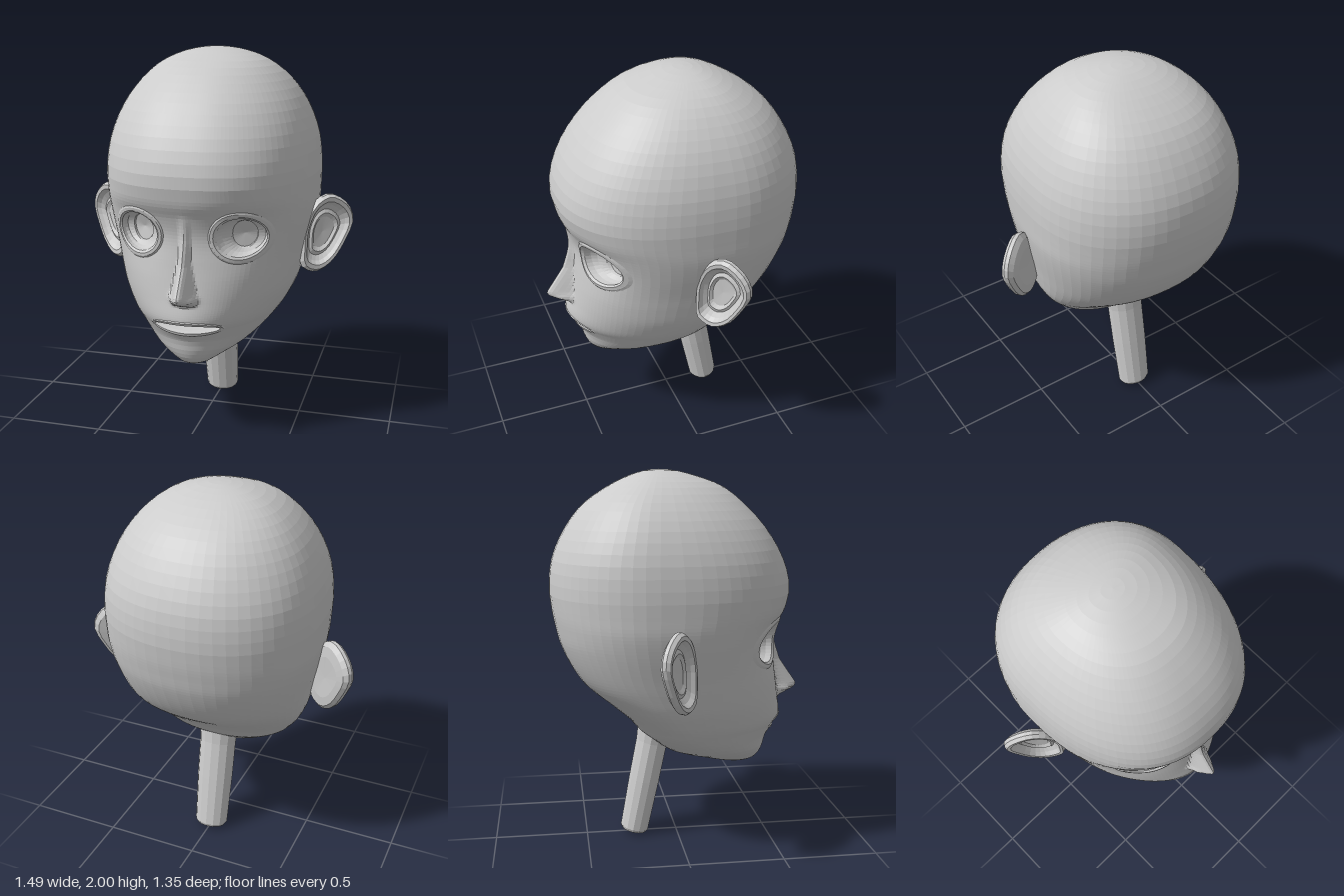
import * as THREE from 'three';

const material = new THREE.MeshStandardMaterial({ color: 0xcccccc, flatShading: true, side: THREE.DoubleSide });

// Head sections: y, half width, front z, back z, z of widest point, front roundness
const SECTIONS = [
  [0.40, 0.00, 0.345, 0.345, 0.345, 2.0],
  [0.41, 0.07, 0.425, 0.27, 0.33, 2.0],
  [0.45, 0.15, 0.470, 0.10, 0.27, 2.0],
  [0.50, 0.24, 0.490, -0.06, 0.19, 1.95],
  [0.56, 0.315, 0.505, -0.14, 0.11, 1.9],
  [0.62, 0.37, 0.545, -0.215, 0.05, 1.85],
  [0.66, 0.40, 0.570, -0.25, 0.03, 1.85],
  [0.70, 0.425, 0.575, -0.285, 0.00, 1.9],
  [0.785, 0.465, 0.560, -0.385, -0.05, 2.05],
  [0.88, 0.49, 0.545, -0.50, -0.09, 2.2],
  [0.97, 0.51, 0.535, -0.565, -0.12, 2.3],
  [1.10, 0.54, 0.530, -0.625, -0.14, 2.4],
  [1.20, 0.557, 0.552, -0.65, -0.15, 2.4],
  [1.28, 0.56, 0.585, -0.665, -0.15, 2.4],
  [1.40, 0.56, 0.602, -0.675, -0.15, 2.4],
  [1.55, 0.54, 0.560, -0.655, -0.15, 2.4],
  [1.70, 0.485, 0.470, -0.585, -0.14, 2.35],
  [1.82, 0.405, 0.360, -0.49, -0.13, 2.3],
  [1.92, 0.295, 0.230, -0.345, -0.11, 2.2],
  [1.97, 0.19, 0.090, -0.24, -0.10, 2.1],
  [2.00, 0.00, -0.09, -0.09, -0.09, 2.0],
];
const toQ = (y) => Math.asin(THREE.MathUtils.clamp((y - 1.2) / 0.8, -1, 1));
const Q = SECTIONS.map((s) => toQ(s[0]));

// Smooth interpolation of all section values at height y
function section(y) {
  const q = toQ(y), last = Q.length - 1;
  let i = 0;
  while (i < last - 1 && q > Q[i + 1]) i++;
  const h = Q[i + 1] - Q[i], t = (q - Q[i]) / h, u = 1 - t;
  return SECTIONS[i].map((_, c) => {
    const slope = (k) => {
      const a = Math.max(k - 1, 0), b = Math.min(k + 1, last);
      return (SECTIONS[b][c] - SECTIONS[a][c]) / (Q[b] - Q[a]);
    };
    return SECTIONS[i][c] * (1 + 2 * t) * u * u + SECTIONS[i + 1][c] * t * t * (3 - 2 * t)
      + h * (slope(i) * t * u * u - slope(i + 1) * t * t * u);
  });
}

// Nose ridge height along y
const NOSE = [[0.765, 0], [0.785, 0.06], [0.808, 0.115], [0.83, 0.128], [0.89, 0.095], [0.97, 0.05], [1.1, 0.018], [1.22, 0]];
function nose(x, y) {
  let h = 0;
  for (let i = 0; i < NOSE.length - 1; i++) {
    const [a, ha] = NOSE[i], [b, hb] = NOSE[i + 1];
    if (y >= a && y <= b) h = ha + (hb - ha) * (y - a) / (b - a);
  }
  const width = 0.036 + 0.04 * THREE.MathUtils.clamp((1 - y) / 0.18, 0, 1);
  const t = Math.min(Math.abs(x) / width, 1);
  const wing = 0.028 * Math.exp(-(((Math.abs(x) - 0.052) / 0.02) ** 2) - ((y - 0.803) / 0.02) ** 2);
  return h * (1 - t * t) ** 2 + wing;
}

const EYE = { x: 0.265, y: 1.11 }, MOUTH = { x: 0, y: 0.642 };

// Height of the face surface above (x, y)
function faceZ(x, y) {
  const [, w, zf, , zc, n] = section(y);
  const f = w > 1e-5 ? Math.min(Math.abs(x) / w, 1) : 0;
  const socket = ((Math.abs(x) - EYE.x) / 0.19) ** 2 + ((y - EYE.y) / 0.16) ** 2;
  return zc + (zf - zc) * (1 - f ** n) ** (1 / n) + nose(x, y) - 0.03 * Math.exp(-socket * 1.2);
}

// Skin between closed rings of points; skip(x, y, z) leaves holes
function loft(rings, skip = () => false) {
  const count = rings[0].length, points = rings.flat(), index = [];
  for (let j = 0; j < rings.length - 1; j++) {
    for (let k = 0; k < count; k++) {
      const a = j * count + k, b = j * count + (k + 1) % count, c = b + count, d = a + count;
      const mid = [0, 1, 2].map((m) => (points[a][m] + points[b][m] + points[c][m] + points[d][m]) / 4);
      if (!skip(...mid)) index.push(a, b, d, b, c, d);
    }
  }
  const geometry = new THREE.BufferGeometry();
  geometry.setAttribute('position', new THREE.Float32BufferAttribute(points.flat(), 3));
  geometry.setIndex(index);
  geometry.computeVertexNormals();
  return geometry;
}

function headGeometry() {
  const heights = [];
  const span = (from, to, count, ease = (t) => t) => {
    for (let i = 0; i < count; i++) heights.push(from + (to - from) * ease(i / count));
  };
  span(0.4, 0.56, 9, (t) => 1 - Math.cos(t * Math.PI / 2));
  span(0.56, 0.86, 26);
  span(0.86, 1.3, 24);
  span(1.3, 2.0, 18, (t) => Math.sin(t * Math.PI / 2));
  heights.push(2.0);
  const FRONT = 64, BACK = 28;
  const rings = heights.map((y) => {
    const [, w, , zb, zc] = section(y), ring = [];
    // columns gather around the middle of the face
    for (let i = 0; i < FRONT; i++) {
      const t = (i / FRONT) * 2 - 1;
      const x = w * Math.sin(Math.PI / 2 * (0.45 * t + 0.55 * t ** 3));
      ring.push([x, y, faceZ(x, y)]);
    }
    for (let i = 0; i < BACK; i++) {
      const a = Math.PI * i / BACK, c = Math.cos(a);
      ring.push([w * Math.sign(c) * Math.abs(c) ** 0.91, y, zc + (zb - zc) * Math.sin(a) ** 0.91]);
    }
    return ring;
  });
  const inside = (x, y, c, rx, ry) => ((Math.abs(x) - c.x) / rx) ** 2 + ((y - c.y) / ry) ** 2 < 1;
  return loft(rings, (x, y, z) => z > 0.2
    && (inside(x, y, EYE, 0.13, 0.115) || inside(x, y, MOUTH, 0.178, 0.034)));
}

// Oval rings laid on the face: half width, half height, offset from the surface
function ovalPatch(center, side, rings, segments) {
  return loft(rings.map(([rx, ry, dz]) => Array.from({ length: segments }, (_, k) => {
    const a = k / segments * Math.PI * 2;
    const x = side * center.x + rx * Math.cos(a), y = center.y + ry * Math.sin(a);
    return [x, y, faceZ(x, y) + dz];
  })));
}

// Ear: a cupped plate swept backwards, grown from its outline
function earGeometry(side) {
  const outline = [[0.50, 0.85], [0.56, 0.82], [0.63, 0.86], [0.70, 0.98], [0.737, 1.10],
    [0.70, 1.19], [0.62, 1.24], [0.55, 1.20], [0.50, 1.08], [0.49, 0.95]];
  const curve = new THREE.CatmullRomCurve3(outline.map(([x, y]) => new THREE.Vector3(x, y, 0)), true);
  const edge = curve.getPoints(26).slice(0, -1);
  const layers = [[0, -0.03], [0.6, -0.035], [0.88, -0.03], [1, -0.01], [1, 0.01], [0.93, 0.028], [0.82, 0.026],
    [0.73, 0.005], [0.6, -0.012], [0.5, -0.004], [0.4, -0.016], [0, -0.02]];
  return loft(layers.map(([s, n]) => {
    const ring = edge.map((p) => {
      const x = 0.60 + (p.x - 0.60) * s, y = 1.03 + (p.y - 1.03) * s;
      return [side * (x + n * 0.6), y, 0.01 - (x - 0.5) * 0.72 + n * 0.8];
    });
    return side > 0 ? ring : ring.reverse();
  }));
}

export function createModel() {
  const model = new THREE.Group();
  const add = (name, geometry) => {
    const mesh = new THREE.Mesh(geometry, material);
    mesh.name = name;
    model.add(mesh);
    return mesh;
  };

  add('head', headGeometry());

  // eyelid rim, hollow eye and recessed iris
  const eyeRings = [[0.158, 0.143, -0.006], [0.142, 0.127, 0.008], [0.126, 0.112, 0.012], [0.115, 0.101, 0.002],
    [0.112, 0.098, -0.03], [0.10, 0.09, -0.055], [0.062, 0.074, -0.075], [0.058, 0.07, -0.09], [0, 0, -0.1]];
  for (const [label, side] of [['left', 1], ['right', -1]]) {
    add(label + 'Eye', ovalPatch(EYE, side, eyeRings, 32));
    add(label + 'Ear', earGeometry(side));
  }

  // lips and mouth cavity
  add('mouth', ovalPatch(MOUTH, 1, [[0.203, 0.054, -0.006], [0.187, 0.04, 0.005], [0.172, 0.026, 0],
    [0.166, 0.022, -0.03], [0.15, 0.02, -0.1], [0, 0, -0.12]], 36));

  // neck leaning forward into the skull
  const profile = [[0, 0], [0.082, 0], [0.092, 0.016], [0.1, 0.3], [0.102, 0.52], [0.115, 0.64], [0.13, 0.72]];
  const neck = add('neck', new THREE.LatheGeometry(profile.map(([r, y]) => new THREE.Vector2(r, y)), 14));
  neck.scale.z = 0.85;
  neck.rotation.x = 0.2;
  neck.position.set(0, 0.018, -0.237);

  return model;
}
